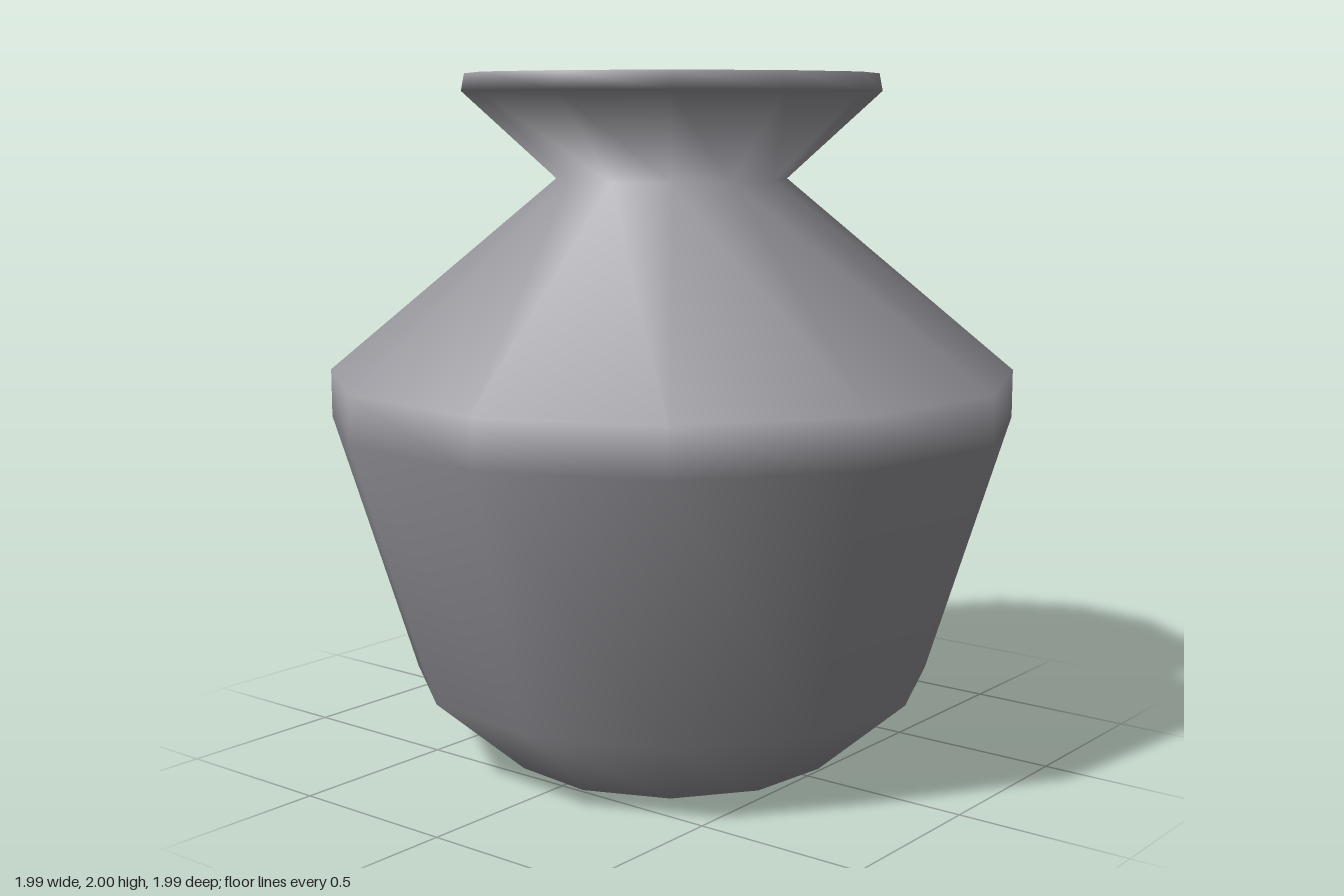
import * as THREE from 'three';
import { mergeVertices } from 'three/addons/utils/BufferGeometryUtils.js';

const SIDES = 12;
const TURN = THREE.MathUtils.degToRad(8);

// Closed outline of the vase as [radius, height], from base centre to mouth centre
const PROFILE = [
  [0, 0], [0.495, 0], [0.765, 0.235], // base and foot
  [1.005, 1.0], [1.005, 1.14],        // belly band
  [0.335, 1.7],                       // neck
  [0.608, 1.95], [0.598, 2.0],        // lip
  [0.585, 1.985], [0.24, 1.69],       // inner funnel
  [0, 1.66],                          // closed throat
];

// Lathe with area-weighted smooth normals
function smoothLathe(points) {
  const lathe = new THREE.LatheGeometry(
    points.map(([r, y]) => new THREE.Vector2(r, y)), SIDES, TURN);
  lathe.deleteAttribute('normal');
  lathe.deleteAttribute('uv');
  const geometry = mergeVertices(lathe, 1e-4);
  geometry.computeVertexNormals();
  return geometry;
}

export function createModel() {
  const clay = new THREE.MeshStandardMaterial({ color: 0x98989e });
  clay.name = 'grey clay';

  const group = new THREE.Group();
  group.name = 'vase';

  const body = new THREE.Mesh(smoothLathe(PROFILE), clay);
  body.name = 'vaseBody';
  group.add(body);
  return group;
}
